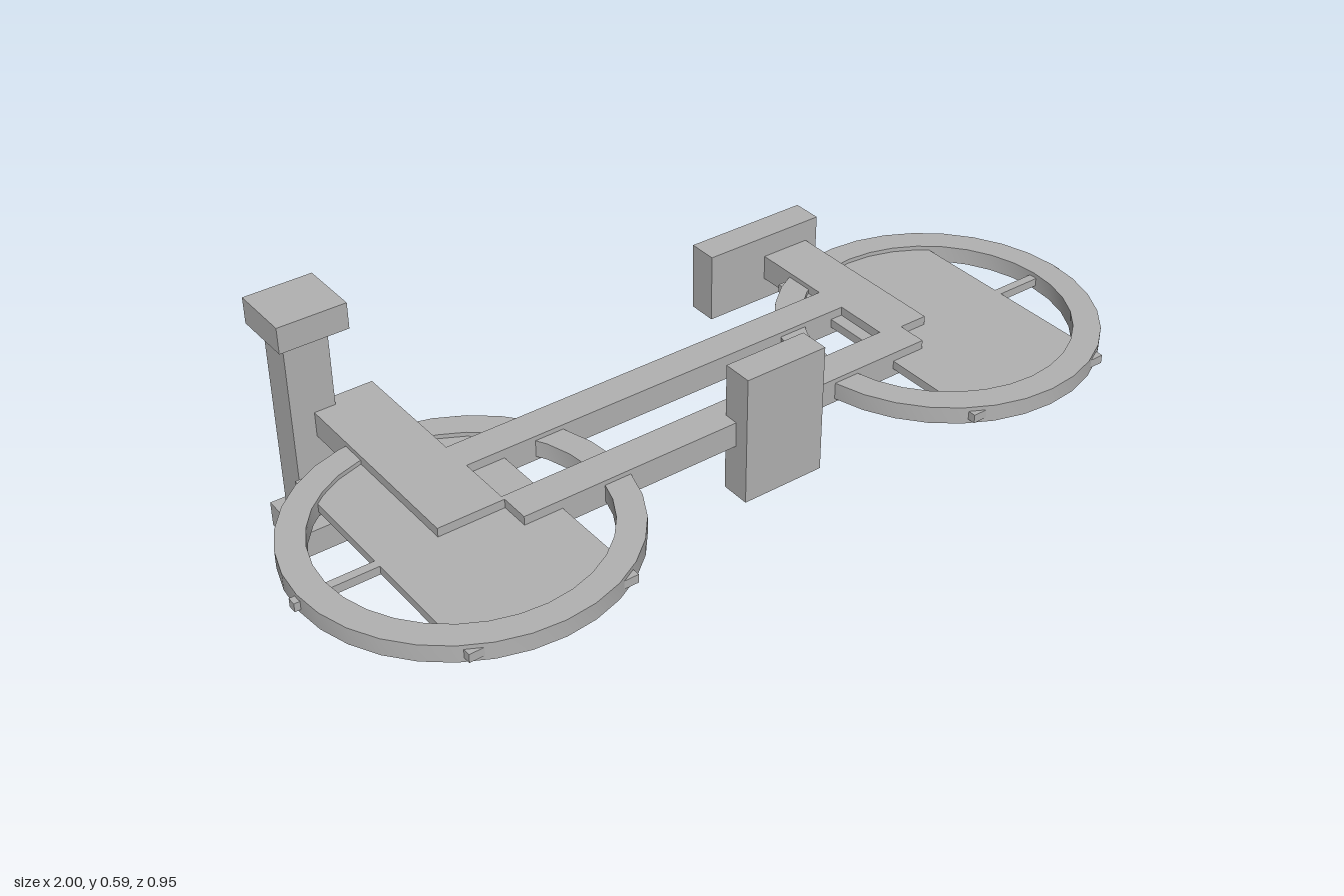
import * as THREE from 'three';
import { toCreasedNormals } from 'three/addons/utils/BufferGeometryUtils.js';

export function createModel() {
  const root = new THREE.Group();
  root.name = 'bicycle';
  const grey = new THREE.MeshStandardMaterial({ color: 0xb2b2b2 });
  grey.name = 'grey';

  // Box given by its limits on each axis
  const box = (name, [x0, x1], [y0, y1], [z0, z1], parent = root) => {
    const mesh = new THREE.Mesh(new THREE.BoxGeometry(x1 - x0, y1 - y0, z1 - z0), grey);
    mesh.position.set((x0 + x1) / 2, (y0 + y1) / 2, (z0 + z1) / 2);
    mesh.name = name;
    parent.add(mesh);
  };

  // Wheels lying flat: rim, wide centre plate and cross spoke
  const rimShape = new THREE.Shape().absarc(0, 0, 0.363, 0, Math.PI * 2);
  rimShape.holes.push(new THREE.Path().absarc(0, 0, 0.302, 0, Math.PI * 2, true));
  const rimGeometry = toCreasedNormals(
    new THREE.ExtrudeGeometry(rimShape, { depth: 0.04, bevelEnabled: false, curveSegments: 16 })
      .translate(0, 0, -0.02).rotateX(-Math.PI / 2), 0.6);
  for (const [name, x] of [['frontWheel', -0.625], ['rearWheel', 0.625]]) {
    const wheel = new THREE.Group();
    wheel.name = name;
    wheel.position.set(x, 0.294, 0.112);
    const rim = new THREE.Mesh(rimGeometry, grey);
    rim.name = 'rim';
    wheel.add(rim);
    box('spokePlate', [-0.19, 0.19], [-0.01, 0.01], [-0.326, 0.326], wheel);
    box('crossSpoke', [-0.375, 0.375], [-0.01, 0.01], [-0.01, 0.01], wheel);
    root.add(wheel);
  }

  // Frame
  const frameY = [0.265, 0.325];
  box('fork', [-0.68, -0.525], frameY, [-0.405, 0.112]);
  box('seatTube', [0.465, 0.588], frameY, [-0.31, 0.112]);
  box('topTube', [-0.525, 0.465], frameY, [-0.106, -0.028]);
  box('lowerTube', [-0.525, 0.518], frameY, [0.101, 0.182]);

  // Saddle and pedal block
  box('saddle', [0.31, 0.62], [0.211, 0.377], [-0.375, -0.304]);
  box('pedal', [0, 0.204], [0.139, 0.45], [0.147, 0.218]);

  // Handlebar with a grip at each end
  box('handlebar', [-0.733, -0.63], [0.062, 0.524], [-0.457, -0.375]);
  box('leftGrip', [-0.76, -0.6], [0.524, 0.586], [-0.479, -0.334]);
  box('rightGrip', [-0.76, -0.6], [0, 0.062], [-0.479, -0.334]);

  return root;
}
